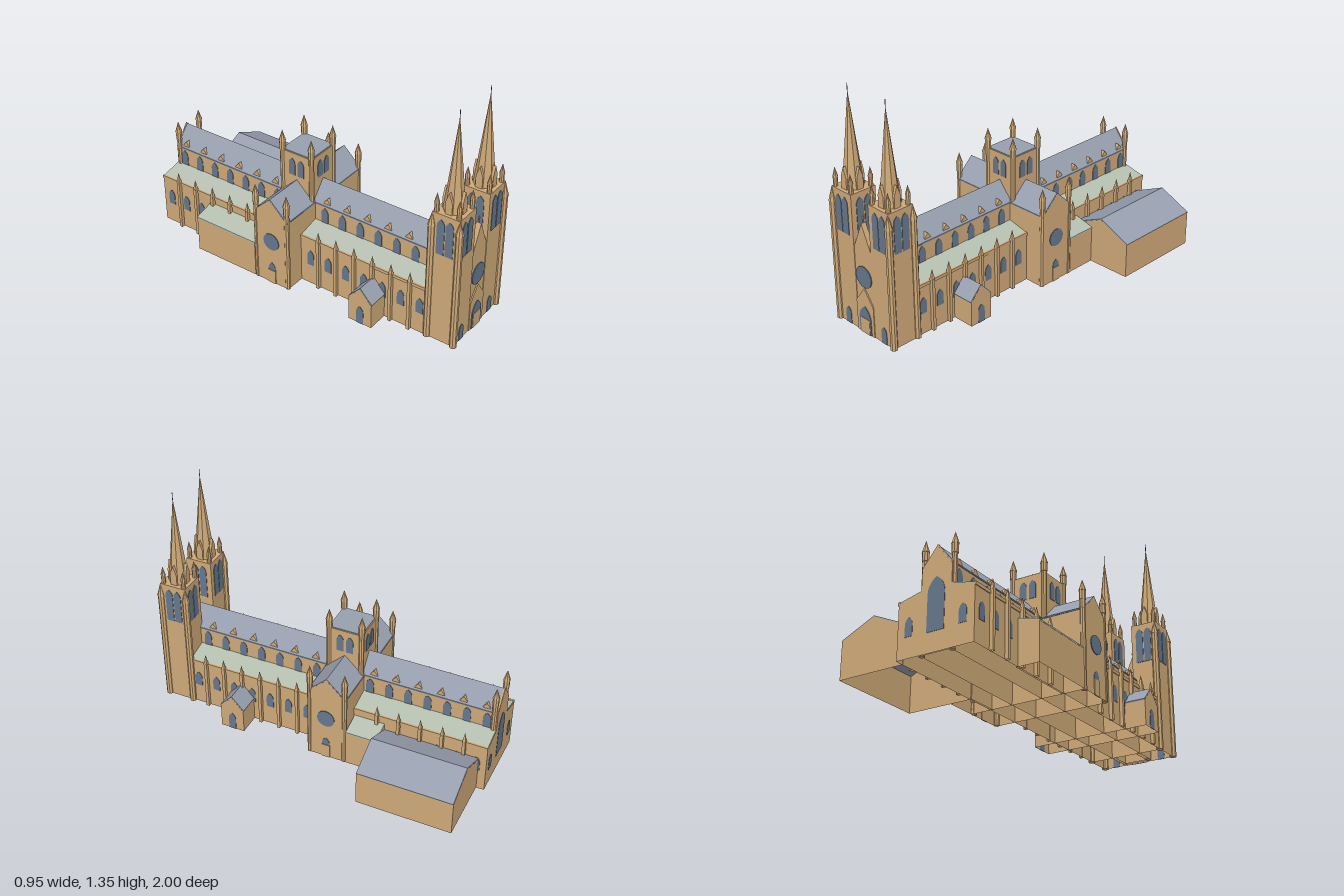
import * as THREE from 'three';

const CX = -0.13; // centre line of the church
const FX = -0.127; // centre line of the front towers

export function createModel() {
  const model = new THREE.Group();
  model.name = 'twinSpireChurch';
  const mat = (name, color) => {
    const m = new THREE.MeshStandardMaterial({ color });
    m.name = name;
    m.flatShading = true;
    return m;
  };
  const stone = mat('sandstone', 0xcea978);
  stone.side = THREE.DoubleSide;
  const slate = mat('slate', 0x979fae);
  const sage = mat('sageMetal', 0xb5bfb0);
  const glass = mat('windowGlass', 0x65778c);
  const iron = mat('darkIron', 0x5a5a5c);

  const add = (name, geo, m, x = 0, y = 0, z = 0, ry = 0) => {
    const mesh = new THREE.Mesh(geo, m);
    mesh.name = name;
    mesh.position.set(x, y, z);
    mesh.rotation.y = ry;
    model.add(mesh);
    return mesh;
  };
  // hollow shell: drops the faces that lie on the ground
  const openBase = geo => {
    const p = (geo.index ? geo.toNonIndexed() : geo).attributes.position, kept = [];
    for (let i = 0; i < p.count; i += 3) {
      if (Math.max(p.getY(i), p.getY(i + 1), p.getY(i + 2)) < 1e-5) continue;
      for (let j = i; j < i + 3; j++) kept.push(p.getX(j), p.getY(j), p.getZ(j));
    }
    const g = new THREE.BufferGeometry();
    g.setAttribute('position', new THREE.Float32BufferAttribute(kept, 3));
    g.computeVertexNormals();
    return g;
  };
  // box given by its base centre, open below when it stands on the ground
  const box = (name, w, h, d, m, x, y, z) => {
    const g = new THREE.BoxGeometry(w, h, d).translate(0, h / 2, 0);
    return add(name, y === 0 ? openBase(g) : g, m, x, y, z);
  };
  // outline in x,y extruded along z, centred on it and open on the ground
  const prism = (points, length) => {
    const shape = new THREE.Shape(points.map(p => new THREE.Vector2(p[0], p[1])));
    const g = new THREE.ExtrudeGeometry(shape, { depth: length, bevelEnabled: false });
    return openBase(g.translate(0, 0, -length / 2));
  };
  const mirrorX = pts => pts.map(p => [-p[0], p[1]]).reverse();

  // gabled block with a thin pitched roof; w is the half width
  const hall = (name, w, eave, ridge, length, x, z, ry = 0) => {
    const t = 0.006;
    add(name + 'Walls', prism([[-w, 0], [w, 0], [w, eave - t], [0, ridge - t], [-w, eave - t]], length), stone, x, 0, z, ry);
    add(name + 'Roof', prism([[-w, eave - t], [0, ridge - t], [w, eave - t], [w + 0.003, eave], [0, ridge], [-w - 0.003, eave]], length - 0.002), slate, x, 0, z, ry);
  };
  // pointed window on a wall that faces along ry
  const lancet = (name, w, h, x, y, z, ry = 0) => {
    const s = new THREE.Shape(), r = w / 2, spring = Math.max(h - w * 0.85, 0);
    s.moveTo(-r, 0);
    s.lineTo(r, 0);
    s.lineTo(r, spring);
    s.quadraticCurveTo(r, spring + (h - spring) * 0.6, 0, h);
    s.quadraticCurveTo(-r, spring + (h - spring) * 0.6, -r, spring);
    add(name, new THREE.ExtrudeGeometry(s, { depth: 0.004, bevelEnabled: false, curveSegments: 5 }), glass, x, y, z, ry);
  };
  const rose = (r, x, y, z, ry) => {
    const g = new THREE.CylinderGeometry(r, r, 0.008, 20).rotateX(Math.PI / 2);
    add('roseWindow', g, glass, x, y, z, ry);
  };
  // shaft with a pointed cap
  const pinnacle = (name, r, y0, y1, top, x, z) => {
    const turn = Math.PI / 8;
    add(name + 'Shaft', new THREE.CylinderGeometry(r, r, y1 - y0, 8), stone, x, (y0 + y1) / 2, z, turn);
    add(name + 'Cap', new THREE.ConeGeometry(r * 1.15, top - y1, 8), stone, x, (y1 + top) / 2, z, turn);
  };
  // slim shaft under a wider pointed head
  const headedPinnacle = (name, y0, y1, top, x, z) => {
    add(name + 'Stem', new THREE.CylinderGeometry(0.015, 0.015, y1 - y0, 8), stone, x, (y0 + y1) / 2, z, Math.PI / 8);
    pinnacle(name, 0.018, y1 - 0.05, y1, top, x, z);
  };
  const row = (start, step, count) => Array.from({ length: count }, (_, i) => start + step * i);
  const sidesLR = [[1, Math.PI / 2], [-1, -Math.PI / 2]];

  // main vessel and the lower aisles
  hall('nave', 0.088, 0.44, 0.55, 1.96, CX, -0.02);
  add('aisleWalls', prism([[-0.22, 0], [0.22, 0], [0.22, 0.293], [0.085, 0.326], [-0.085, 0.326], [-0.22, 0.293]], 1.82), stone, CX, 0, -0.09);
  const leanTo = [[0.085, 0.324], [0.221, 0.291], [0.221, 0.299], [0.085, 0.332]];
  add('aisleRoofLeft', prism(leanTo, 1.816), sage, CX, 0, -0.09);
  add('aisleRoofRight', prism(mirrorX(leanTo), 1.816), sage, CX, 0, -0.09);

  const windowZ = [...row(0.07, 0.117, 7), ...row(-0.942, 0.114, 7)];
  const buttressZ = [...row(0.128, 0.117, 6), ...row(-0.87, 0.127, 5)];
  const dormerZ = [...row(0.08, 0.132, 6), ...row(-0.932, 0.131, 6)];
  for (const [s, ry] of sidesLR) {
    box('aisleParapet', 0.012, 0.018, 1.82, stone, CX + s * 0.219, 0.285, -0.09);
    box('naveGutter', 0.006, 0.006, 1.8, slate, CX + s * 0.09, 0.436, -0.09);
    for (const z of windowZ) {
      lancet('clerestoryWindow', 0.046, 0.095, CX + s * 0.087, 0.33, z, ry);
      lancet('aisleWindow', 0.044, 0.095, CX + s * 0.219, 0.125, z, ry);
    }
    for (const z of buttressZ) {
      box('buttress', 0.022, 0.31, 0.018, stone, CX + s * 0.229, 0, z);
      add('buttressCap', new THREE.ConeGeometry(0.014, 0.06, 4), stone, CX + s * 0.229, 0.34, z, Math.PI / 4);
    }
    for (const z of dormerZ) {
      add('roofDormer', prism([[-0.022, 0.43], [0.022, 0.43], [0.022, 0.455], [0, 0.483], [-0.022, 0.455]], 0.04), stone, CX + s * 0.062, 0, z, ry);
    }
  }

  // rear end: gable wall, turrets and windows
  add('rearGable', prism([[-0.088, 0], [0.088, 0], [0.088, 0.445], [0, 0.555], [-0.088, 0.445]], 0.008), stone, CX, 0, -0.995);
  lancet('rearGreatWindow', 0.1, 0.28, CX, 0.105, -0.998, Math.PI);
  for (const s of [1, -1]) {
    headedPinnacle('rearTurret', 0, 0.54, 0.605, CX + s * 0.087, -0.98);
    lancet('rearAisleWindow', 0.044, 0.1, CX + s * 0.155, 0.11, -0.998, Math.PI);
  }

  // transept
  hall('transept', 0.113, 0.44, 0.55, 0.68, CX, -0.108, Math.PI / 2);
  for (const z of [0.006, -0.222]) box('transeptGutter', 0.676, 0.006, 0.006, slate, CX, 0.436, z);
  for (const [s, ry] of sidesLR) {
    rose(0.052, CX + s * 0.34, 0.275, -0.105, ry);
    lancet('transeptDoorArch', 0.048, 0.135, CX + s * 0.338, 0, -0.105, ry);
    box('transeptDoor', 0.008, 0.085, 0.05, stone, CX + s * 0.341, 0, -0.105);
    for (const z of [-0.212, -0.004]) headedPinnacle('transeptPinnacle', 0, 0.54, 0.605, CX + s * 0.33, z);
  }

  // crossing tower
  box('crossingTower', 0.206, 0.282, 0.206, stone, CX, 0.43, -0.108);
  box('crossingTowerRoof', 0.194, 0.006, 0.194, slate, CX, 0.71, -0.108);
  for (let k = 0; k < 4; k++) {
    const a = k * Math.PI / 2, c = Math.cos(a), n = Math.sin(a);
    for (const u of [-0.029, 0.029]) {
      lancet('crossingTowerWindow', 0.042, 0.105, CX + n * 0.102 + c * u, 0.575, -0.108 + c * 0.102 - n * u, a);
    }
  }
  for (const sx of [1, -1]) for (const sz of [1, -1]) {
    headedPinnacle('crossingTowerPinnacle', 0.44, 0.765, 0.832, CX + sx * 0.097, -0.108 + sz * 0.097);
  }

  // side chapels with lean-to roofs, side porches and the annex hall
  for (const [s, length] of [[1, 0.18], [-1, 0.415]]) {
    const wall = [[0.21, 0], [0.34, 0], [0.34, 0.215], [0.21, 0.25]];
    const cover = [[0.21, 0.248], [0.342, 0.213], [0.342, 0.221], [0.21, 0.256]];
    const z = -0.225 - length / 2;
    add('chapelWalls', prism(s > 0 ? wall : mirrorX(wall), length), stone, CX, 0, z);
    add('chapelRoof', prism(s > 0 ? cover : mirrorX(cover), length), sage, CX, 0, z);
  }
  hall('sidePorch', 0.072, 0.15, 0.23, 0.695, -0.126, 0.483, Math.PI / 2);
  lancet('porchDoorLeft', 0.045, 0.11, 0.22, 0, 0.483, Math.PI / 2);
  lancet('porchDoorRight', 0.045, 0.11, -0.472, 0, 0.483, -Math.PI / 2);
  hall('annexHall', 0.193, 0.21, 0.30, 0.55, 0.279, -0.68);

  // west front between the towers
  add('frontGable', prism([[-0.07, 0], [0.07, 0], [0.07, 0.49], [0, 0.65], [-0.07, 0.49]], 0.03), stone, FX, 0, 0.962);
  add('frontPorch', prism([[-0.068, 0], [0.068, 0], [0.068, 0.18], [0, 0.272], [-0.068, 0.18]], 0.02), stone, FX, 0, 0.974);
  rose(0.062, FX, 0.338, 0.978, 0);
  lancet('frontDoorArch', 0.094, 0.165, FX, 0, 0.983);
  box('frontDoor', 0.07, 0.092, 0.006, stone, FX, 0, 0.986);
  box('crossUpright', 0.005, 0.045, 0.005, stone, FX, 0.645, 0.962);
  box('crossArm', 0.02, 0.005, 0.005, stone, FX, 0.675, 0.962);

  // twin front towers with spires
  for (const s of [1, -1]) {
    const x = FX + s * 0.145, z = 0.9;
    box('frontTower', 0.155, 0.787, 0.16, stone, x, 0, z);
    for (const dz of [-0.08, 0.08]) pinnacle('towerTurret', 0.02, 0, 0.705, 0.79, x + s * 0.075, z + dz);
    for (let k = 0; k < 4; k++) {
      const a = k * Math.PI / 2, c = Math.cos(a), n = Math.sin(a);
      for (const u of [-0.026, 0.026]) {
        lancet('belfryWindow', 0.045, 0.21, x + n * 0.0765 + c * u, 0.548, z + c * 0.079 - n * u, a);
      }
      // gabled spire light
      add('spireGable', prism([[-0.02, 0.785], [0.02, 0.785], [0.02, 0.855], [0, 0.91], [-0.02, 0.855]], 0.034), stone, x + n * 0.042, 0, z + c * 0.042, a);
      // corner pinnacle
      const px = x + (k % 2 ? 1 : -1) * 0.062, pz = z + (k < 2 ? 1 : -1) * 0.064;
      pinnacle('towerPinnacle', 0.013, 0.785, 0.84, 0.895, px, pz);
    }
    lancet('towerDoor', 0.042, 0.1, x, 0, z + 0.079);
    add('spire', new THREE.ConeGeometry(0.058, 0.53, 8), stone, x, 1.05, z, Math.PI / 8);
    add('spireFinial', new THREE.CylinderGeometry(0.002, 0.002, 0.06, 6), iron, x, 1.32, z);
  }
  return model;
}
